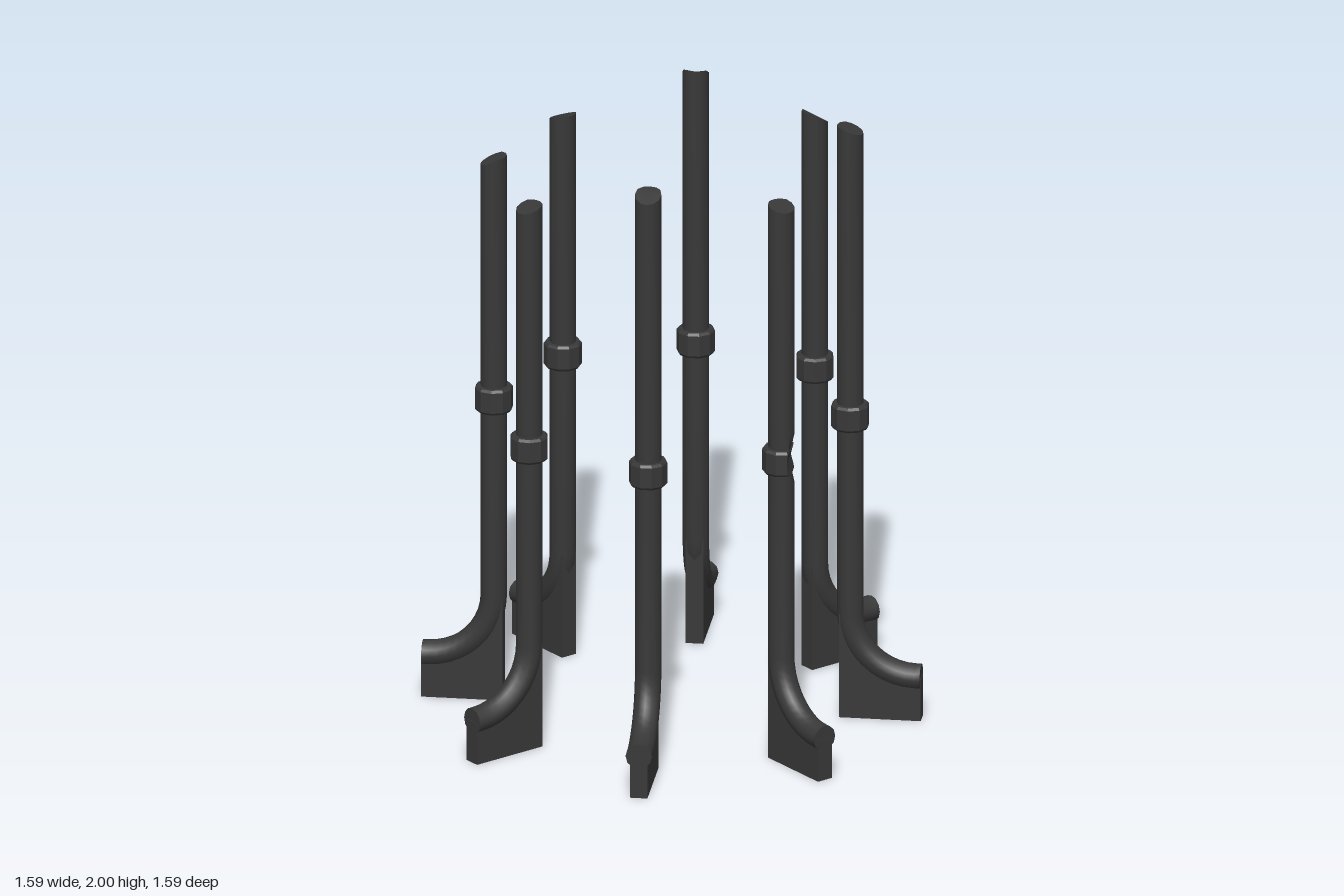
import * as THREE from 'three';
import { toCreasedNormals } from 'three/addons/utils/BufferGeometryUtils.js';

const RING = 0.567, PIPE = 0.042, BEND = 0.21, BEND_Y = 0.35, END = 0.793, SIDES = 12;
const material = new THREE.MeshStandardMaterial({ color: 0x383838, roughness: 0.8 });

// Columns in 45 degree steps from +x towards +z: [height, drop of the slanted tip]
const columns = [
  [1.885, 0.045], [2.0, 0.025], [1.885, 0.02], [1.97, 0.03],
  [1.84, 0.022], [1.84, 0.03], [1.835, 0.025], [1.945, 0.045],
];
const DENTED = 2;

// Flattens one side of a pipe or collar around the collar height
function dent(geometry, margin) {
  const p = geometry.attributes.position, d = Math.SQRT1_2;
  for (let i = 0; i < p.count; i++) {
    const x = p.getX(i), y = p.getY(i), z = p.getZ(i);
    if (y < 0.8 || y > 1.3) continue;
    const s = (x - RING) * d - z * d;
    const over = s - (0.022 + margin + Math.abs(y - 1.02) * 0.25);
    if (over > 0) p.setXYZ(i, x - over * d, y, z + over * d);
  }
}

// Upright pipe that bends outward at the foot, with a slanted cut at the top
function pipeGeometry(top, drop) {
  const stations = [];
  for (const y of [top, 1.13, 1.1, 1.06, 1.02, 0.98, 0.94, 0.91]) stations.push([RING, y, 0]);
  for (let i = 0; i <= 10; i++) {
    const a = (i / 10) * Math.PI / 2;
    stations.push([RING + BEND - BEND * Math.cos(a), BEND_Y - BEND * Math.sin(a), a]);
  }
  stations.push([END, BEND_Y - BEND, Math.PI / 2]);

  const pos = [], index = [];
  stations.forEach(([r, y, a], row) => {
    for (let j = 0; j < SIDES; j++) {
      const t = (j / SIDES) * Math.PI * 2, u = Math.cos(t) * PIPE;
      const cut = row ? 0 : drop * THREE.MathUtils.clamp((u / PIPE + 0.6) / 1.6, 0, 1);
      pos.push(r + u * Math.cos(a), y + u * Math.sin(a) - cut, Math.sin(t) * PIPE);
      if (row) {
        const k = (j + 1) % SIDES, b = row * SIDES, c = b - SIDES;
        index.push(c + j, c + k, b + j, c + k, b + k, b + j);
      }
    }
  });
  // end caps
  const last = (stations.length - 1) * SIDES, centre = pos.length / 3;
  pos.push(RING, top - drop * 0.375, 0, END, BEND_Y - BEND, 0);
  for (let j = 0; j < SIDES; j++) {
    const k = (j + 1) % SIDES;
    index.push(centre, k, j, centre + 1, last + j, last + k);
  }
  const g = new THREE.BufferGeometry();
  g.setAttribute('position', new THREE.Float32BufferAttribute(pos, 3));
  g.setIndex(index);
  return g;
}

// Ten-sided collar with small bevels
function collarGeometry() {
  const profile = [[0.03, 0.976], [0.055, 0.976], [0.061, 0.984], [0.061, 1.02],
    [0.061, 1.052], [0.055, 1.06], [0.03, 1.06]].map(([r, y]) => new THREE.Vector2(r, y));
  return new THREE.LatheGeometry(profile, 10).translate(RING, 0, 0);
}

// Plate filling the space beneath the bend
function plateGeometry() {
  const s = new THREE.Shape();
  s.moveTo(0.535, 0);
  s.lineTo(END + 0.002, 0);
  s.lineTo(END + 0.002, BEND_Y - BEND);
  s.lineTo(RING + BEND, BEND_Y - BEND);
  s.absarc(RING + BEND, BEND_Y, BEND, -Math.PI / 2, -Math.PI, true);
  s.lineTo(0.535, BEND_Y);
  return new THREE.ExtrudeGeometry(s, { depth: 0.056, bevelEnabled: false, curveSegments: 10 })
    .translate(0, 0, -0.028);
}

export function createModel() {
  const model = new THREE.Group();
  model.name = 'pipeRing';
  const plate = plateGeometry();
  columns.forEach(([top, drop], i) => {
    const column = new THREE.Group();
    column.name = `column${i + 1}`;
    const pipe = pipeGeometry(top, drop), collar = collarGeometry();
    if (i === DENTED) {
      dent(pipe, 0);
      dent(collar, 0.003);
    }
    const add = (name, geometry) => {
      const mesh = new THREE.Mesh(geometry, material);
      mesh.name = name;
      column.add(mesh);
    };
    add('pipe', toCreasedNormals(pipe, 0.6));
    add('collar', toCreasedNormals(collar, 0.4));
    add('footPlate', plate);
    column.rotation.y = -i * Math.PI / 4;
    model.add(column);
  });
  return model;
}
